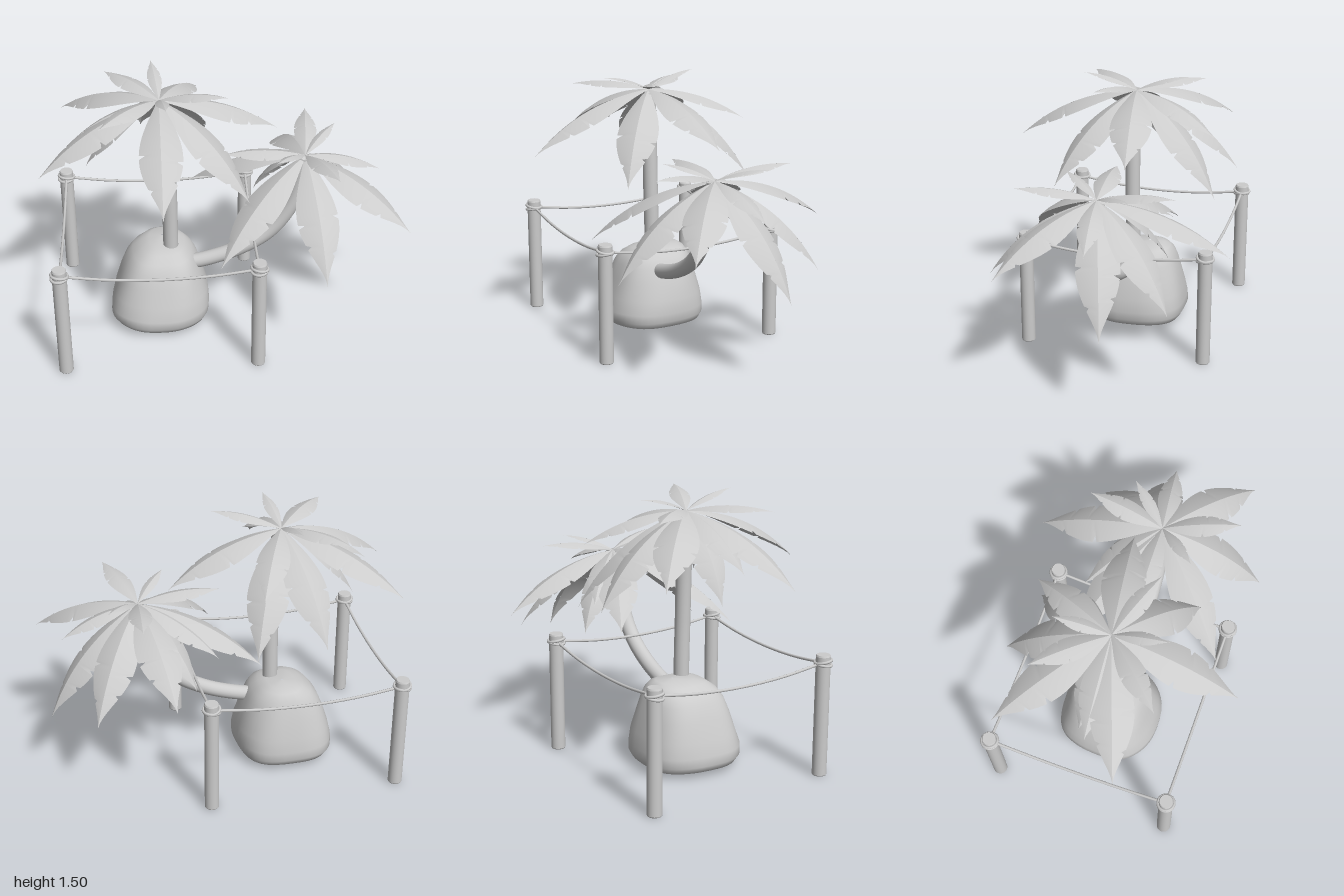
import * as THREE from 'three';

const grey = new THREE.MeshStandardMaterial({ color: 0xcccccc });
const greyThin = new THREE.MeshStandardMaterial({ color: 0xcccccc, side: THREE.DoubleSide });
const V = (x, y, z) => new THREE.Vector3(x, y, z);

function add(parent, name, geometry, material = grey) {
  const mesh = new THREE.Mesh(geometry, material);
  mesh.name = name;
  parent.add(mesh);
  return mesh;
}

function surface(positions, indices) {
  const g = new THREE.BufferGeometry();
  g.setAttribute('position', new THREE.Float32BufferAttribute(positions, 3));
  g.setIndex(indices);
  g.computeVertexNormals();
  return g;
}

// Rounded-square boulder lofted through rings of [y, xMin, xMax, zMin, zMax]
function boulderGeometry() {
  const rings = [
    [0.012, -0.38, -0.36, -0.02, 0.0], [0.008, -0.52, -0.22, -0.16, 0.13],
    [0.02, -0.59, -0.15, -0.25, 0.21], [0.035, -0.635, -0.105, -0.29, 0.25],
    [0.07, -0.655, -0.088, -0.308, 0.275], [0.12, -0.652, -0.085, -0.305, 0.277],
    [0.2, -0.63, -0.092, -0.29, 0.253], [0.3, -0.592, -0.12, -0.265, 0.222],
    [0.38, -0.555, -0.145, -0.245, 0.19], [0.43, -0.515, -0.175, -0.228, 0.155],
    [0.465, -0.465, -0.215, -0.205, 0.105], [0.483, -0.42, -0.26, -0.175, 0.04],
    [0.49, -0.35, -0.34, -0.09, -0.08],
  ];
  const n = 48, pos = [], idx = [];
  const round = (c) => Math.sign(c) * Math.abs(c) ** 0.78;
  rings.forEach(([y, x0, x1, z0, z1], r) => {
    for (let i = 0; i < n; i++) {
      const a = (i / n) * Math.PI * 2;
      const dent = 1 + 0.025 * Math.sin(3 * a + y * 9) * Math.sin(2 * a + 1);
      pos.push((x0 + x1) / 2 + ((x1 - x0) / 2) * round(Math.cos(a)) * dent, y,
        (z0 + z1) / 2 + ((z1 - z0) / 2) * round(Math.sin(a)) * dent);
      if (r < rings.length - 1) {
        const p = r * n + i, q = r * n + ((i + 1) % n);
        idx.push(p, p + n, q, q, p + n, q + n);
      }
    }
  });
  return surface(pos, idx);
}

// Drooping leaf: two shallow wings along an arched midrib, each with narrow torn nicks
function leafGeometry(base, tip, seed) {
  const chord = tip.clone().sub(base), len = chord.length();
  const side = V(-chord.z, 0, chord.x).normalize();
  const bulge = side.clone().cross(chord).normalize();
  if (bulge.y < 0) bulge.negate();
  const arch = 0.14 + 0.1 * Math.max(0, -chord.y / len);
  const control = base.clone().lerp(tip, 0.5).addScaledVector(bulge, len * arch);
  const curve = new THREE.QuadraticBezierCurve3(base, control, tip);
  const maxHalf = Math.min(0.125, 0.22 * len - 0.03);
  const pos = [], idx = [];
  for (const s of [-1, 1]) {
    const start = pos.length / 3;
    const nicks = [0.5, 0.72].map((t, j) => t + 0.03 * ((seed * 3 + j * 2 + s + 1) % 4));
    const samples = Array.from({ length: 25 }, (_, i) => i / 24)
      .filter((t) => nicks.every((k) => Math.abs(t - k) > 0.02));
    nicks.forEach((k) => samples.push(k - 0.014, k, k + 0.02));
    samples.sort((a, b) => a - b);
    samples.forEach((t, i) => {
      const mid = curve.getPoint(t);
      const up = side.clone().cross(curve.getTangent(t)).normalize();
      if (up.dot(bulge) < 0) up.negate();
      let w = maxHalf * (0.06 + 0.94 * Math.sin(Math.PI * t ** 1.05) ** 1.05) * (1 - t ** 8);
      if (nicks.includes(t)) w *= 0.72;
      const edge = mid.clone().addScaledVector(side, s * w * 0.93).addScaledVector(up, -w * 0.38);
      const inner = mid.clone().lerp(edge, 0.5).addScaledVector(up, w * 0.04);
      pos.push(...mid, ...inner, ...edge);
      if (i < samples.length - 1) {
        const p = start + i * 3;
        for (const k of [p, p + 1]) {
          if (s > 0) idx.push(k, k + 1, k + 3, k + 1, k + 4, k + 3);
          else idx.push(k, k + 3, k + 1, k + 1, k + 3, k + 4);
        }
      }
    });
  }
  return surface(pos, idx);
}

function palm(name, trunkPoints, crown, tips) {
  const group = new THREE.Group();
  group.name = name;
  const path = new THREE.CatmullRomCurve3(trunkPoints.map((p) => V(...p)));
  add(group, 'trunk', new THREE.TubeGeometry(path, 40, 0.043, 20));
  const leaves = new THREE.Group();
  leaves.name = 'leaves';
  tips.forEach((p, i) => add(leaves, 'leaf', leafGeometry(V(...crown), V(...p), i), greyThin));
  group.add(leaves);
  return group;
}

function post(x, z) {
  const group = new THREE.Group();
  group.name = 'post';
  const profile = [[0, 0], [0.037, 0], [0.04, 0.005], [0.04, 0.672], [0.036, 0.681], [0, 0.681]];
  // Doubled profile points keep the rims crisp
  const points = profile.flatMap(([r, y]) => [new THREE.Vector2(r, y), new THREE.Vector2(r, y)]);
  add(group, 'postShaft', new THREE.LatheGeometry(points, 24));
  [[0.63, 0.12], [0.643, -0.14]].forEach(([y, tilt]) => {
    const loop = add(group, 'ropeLoop', new THREE.TorusGeometry(0.045, 0.008, 8, 28));
    loop.position.y = y;
    loop.rotation.set(Math.PI / 2 + tilt, tilt, 0);
  });
  group.position.set(x, 0, z);
  return group;
}

export function createModel() {
  const model = new THREE.Group();
  model.name = 'palmIsland';
  add(model, 'boulder', boulderGeometry());
  const foot = add(model, 'boulderFoot', new THREE.CylinderGeometry(0.053, 0.053, 0.06, 24));
  foot.position.set(-0.37, 0.03, -0.01);

  model.add(palm('uprightPalm',
    [[-0.297, 0.35, 0.005], [-0.297, 0.55, 0.005], [-0.298, 0.8, 0.01], [-0.308, 1.1, 0.01], [-0.335, 1.39, 0.003]],
    [-0.342, 1.41, 0],
    [
      // long drooping leaves
      [-1.0, 1.08, 0.24], [-0.905, 1.14, -0.465], [-0.45, 0.95, -0.58], [-0.085, 0.89, -0.52],
      [0.315, 1.16, -0.11], [0.125, 0.955, 0.35], [-0.342, 1.08, 0.705], [-0.76, 0.985, -0.04],
      // short upper leaves
      [-0.85, 1.16, 0.03], [-0.12, 1.235, -0.505], [-0.665, 1.42, 0.345], [-0.645, 1.42, -0.35],
      [-0.38, 1.5, -0.31], [-0.31, 1.5, 0.305], [0.03, 1.485, 0.15],
    ]));

  model.add(palm('leaningPalm',
    [[-0.3, 0.35, 0.01], [-0.12, 0.375, 0.015], [0.1, 0.45, 0.015], [0.27, 0.56, 0.015],
      [0.385, 0.72, 0.015], [0.435, 0.87, 0.01], [0.46, 1.03, 0]],
    [0.465, 1.04, 0],
    [
      // long drooping leaves
      [0.385, 0.755, -0.705], [0.775, 0.565, -0.465], [0.99, 0.48, -0.165], [1.0, 0.76, 0.395],
      [0.53, 0.565, 0.595], [-0.04, 0.64, 0.51], [-0.17, 0.73, -0.3], [0.205, 0.635, -0.33],
      // short upper leaves
      [0.085, 0.83, -0.33], [0.9, 0.9, -0.06], [0.6, 1.11, 0.42], [0.51, 1.1, -0.445],
      [-0.01, 1.065, 0.02], [0.66, 1.115, -0.23], [0.28, 1.12, 0.23],
    ]));

  // Fence of four posts joined by sagging ropes
  const corners = [[-0.905, -0.53], [0.17, -0.53], [0.17, 0.51], [-0.905, 0.51]];
  corners.forEach(([x, z], i) => {
    model.add(post(x, z));
    const [x2, z2] = corners[(i + 1) % 4];
    const sag = [0, 0.25, 0.5, 0.75, 1].map((t) =>
      V(x + (x2 - x) * t, 0.635 - 0.045 * 4 * t * (1 - t), z + (z2 - z) * t));
    add(model, 'rope', new THREE.TubeGeometry(new THREE.CatmullRomCurve3(sag), 24, 0.008, 8));
  });
  return model;
}
